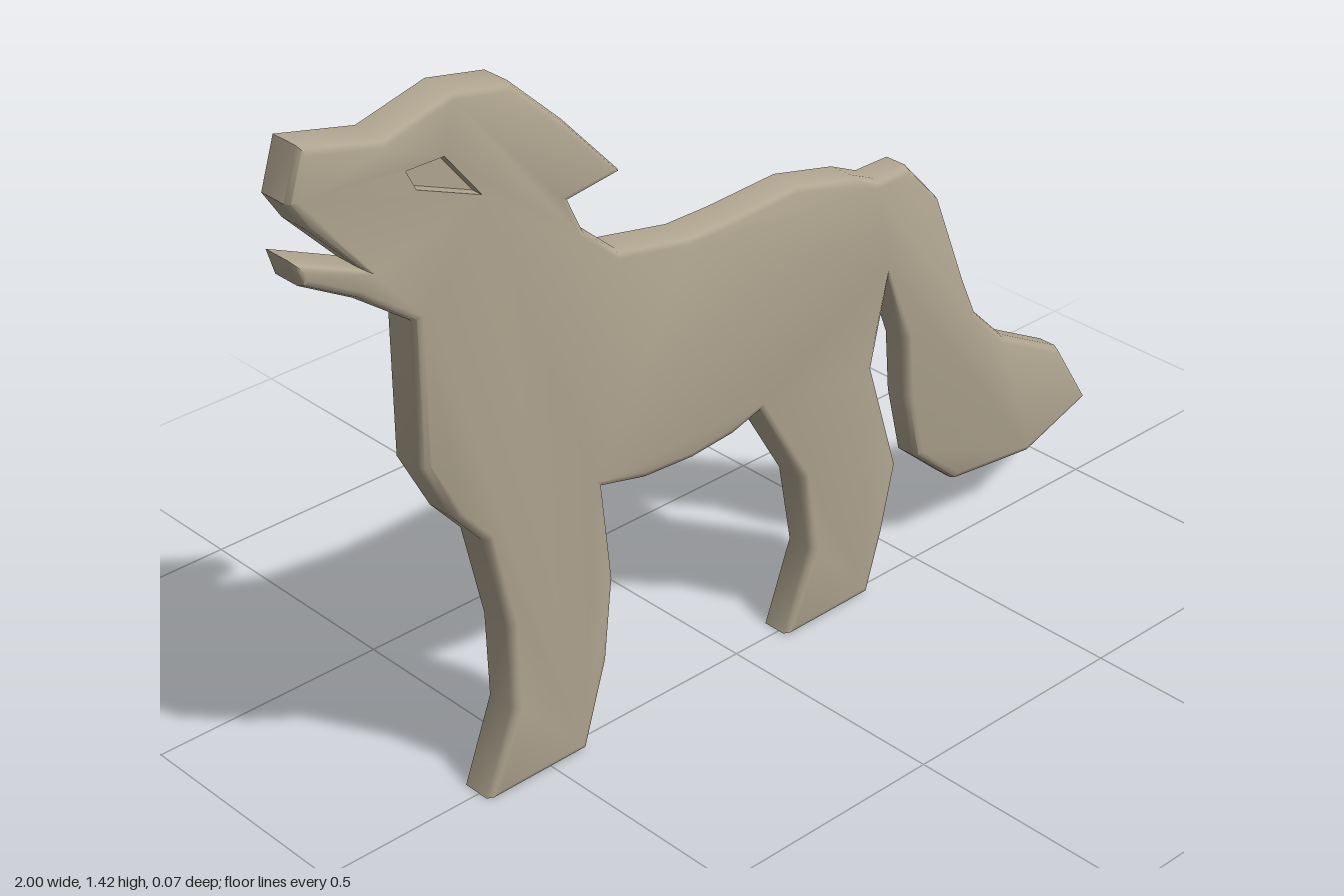
import * as THREE from 'three';
import { toCreasedNormals } from 'three/addons/utils/BufferGeometryUtils.js';

const V = (p) => new THREE.Vector2(p[0], p[1]);

// Silhouette, clockwise from the tip of the nose
const outline = [
  // head and ear
  [-0.97, 1.422], [-0.81, 1.385], [-0.665, 1.422], [-0.54, 1.398], [-0.425, 1.29], [-0.3, 1.155], [-0.42, 1.14],
  // neck and back
  [-0.39, 1.075], [-0.31, 1.005], [-0.14, 0.972], [-0.035, 0.972], [0.13, 0.98], [0.28, 0.945], [0.345, 0.915],
  // tail
  [0.43, 0.915], [0.525, 0.815], [0.605, 0.61], [0.645, 0.52], [0.735, 0.43], [0.905, 0.34], [1, 0.187],
  [0.82, 0.125], [0.6, 0.15], [0.485, 0.25], [0.45, 0.4], [0.44, 0.535], [0.38, 0.69],
  // hind leg
  [0.34, 0.515], [0.415, 0.27], [0.38, 0.125], [0.34, 0], [0.115, 0], [0.18, 0.17], [0.15, 0.345], [0.035, 0.54],
  // belly
  [-0.035, 0.52], [-0.14, 0.512], [-0.26, 0.52], [-0.36, 0.545],
  // front leg
  [-0.34, 0.345], [-0.36, 0.175], [-0.415, 0], [-0.65, 0], [-0.585, 0.17], [-0.59, 0.35], [-0.635, 0.55],
  // chest, throat and open jaw
  [-0.7, 0.625], [-0.765, 0.75], [-0.765, 1.035], [-0.88, 1.12], [-0.985, 1.18], [-1, 1.23], [-0.865, 1.17],
  [-0.965, 1.275], [-1, 1.33],
].map(V);
const eye = [[-0.77, 1.315], [-0.69, 1.315], [-0.615, 1.22], [-0.75, 1.275]].map(V);

const BACK = -0.037, EYE_FLOOR = 0.012;

// Front surface height: thickest at the head, thinnest at the tail
function frontZ(x) {
  if (x > 0.43) return 0.018;
  return THREE.MathUtils.lerp(0.037, 0.026, THREE.MathUtils.clamp((x + 0.6) / 1.0, 0, 1));
}

// Move each point inward by a limited mitre
function inset(pts, d) {
  return pts.map((p, i) => {
    const a = pts[(i + pts.length - 1) % pts.length], b = pts[(i + 1) % pts.length];
    const e = p.clone().sub(a).normalize(), f = b.clone().sub(p).normalize();
    const n = new THREE.Vector2(e.y + f.y, -e.x - f.x).normalize();
    const cos = Math.max(0.5, n.x * e.y - n.y * e.x);
    return p.clone().addScaledVector(n, d / cos);
  });
}

const ring = (pts, z) => pts.map((p) => new THREE.Vector3(p.x, p.y, z(p.x)));

// Strip of faces joining two matching rings
function band(out, a, b, inward = false) {
  a.forEach((p, i) => {
    const j = (i + 1) % a.length;
    if (inward) out.push(p, a[j], b[j], p, b[j], b[i]);
    else out.push(p, b[j], a[j], p, b[i], b[j]);
  });
}

// Filled face, turned to the front (dir 1) or back (dir -1)
function cap(out, pts, holePts, dir) {
  const all = pts.concat(holePts);
  const faces = THREE.ShapeUtils.triangulateShape(
    pts.map((p) => new THREE.Vector2(p.x, p.y)),
    holePts.length ? [holePts.map((p) => new THREE.Vector2(p.x, p.y))] : []);
  for (const [i, j, k] of faces) {
    const a = all[i], b = all[j], c = all[k];
    const turn = (b.x - a.x) * (c.y - a.y) - (b.y - a.y) * (c.x - a.x);
    if (turn * dir > 0) out.push(a, b, c);
    else out.push(a, c, b);
  }
}

function mesh(name, points, material, crease) {
  const geometry = toCreasedNormals(new THREE.BufferGeometry().setFromPoints(points), crease);
  const m = new THREE.Mesh(geometry, material);
  m.name = name;
  return m;
}

export function createModel() {
  const group = new THREE.Group();
  group.name = 'howlingWolf';
  const stone = new THREE.MeshStandardMaterial({ color: 0xb0a590 });
  stone.name = 'warm stone';

  // Flat back, straight sides, softened front edge
  const back = ring(outline, () => BACK);
  const side = ring(outline, (x) => frontZ(x) - 0.016);
  const bevel = ring(inset(outline, 0.005), (x) => frontZ(x) - 0.004);
  const face = ring(inset(outline, 0.015), frontZ);
  const eyeRim = ring(eye, frontZ), eyeFloor = ring(eye, () => EYE_FLOOR);

  const body = [];
  cap(body, back, [], -1);
  band(body, back, side);
  band(body, side, bevel);
  band(body, bevel, face);
  cap(body, face, eyeRim, 1);
  group.add(mesh('body', body, stone, 0.87));

  // Recessed eye
  const socket = [];
  band(socket, eyeFloor, eyeRim, true);
  cap(socket, eyeFloor, [], 1);
  group.add(mesh('eyeSocket', socket, stone, 0.3));

  return group;
}
